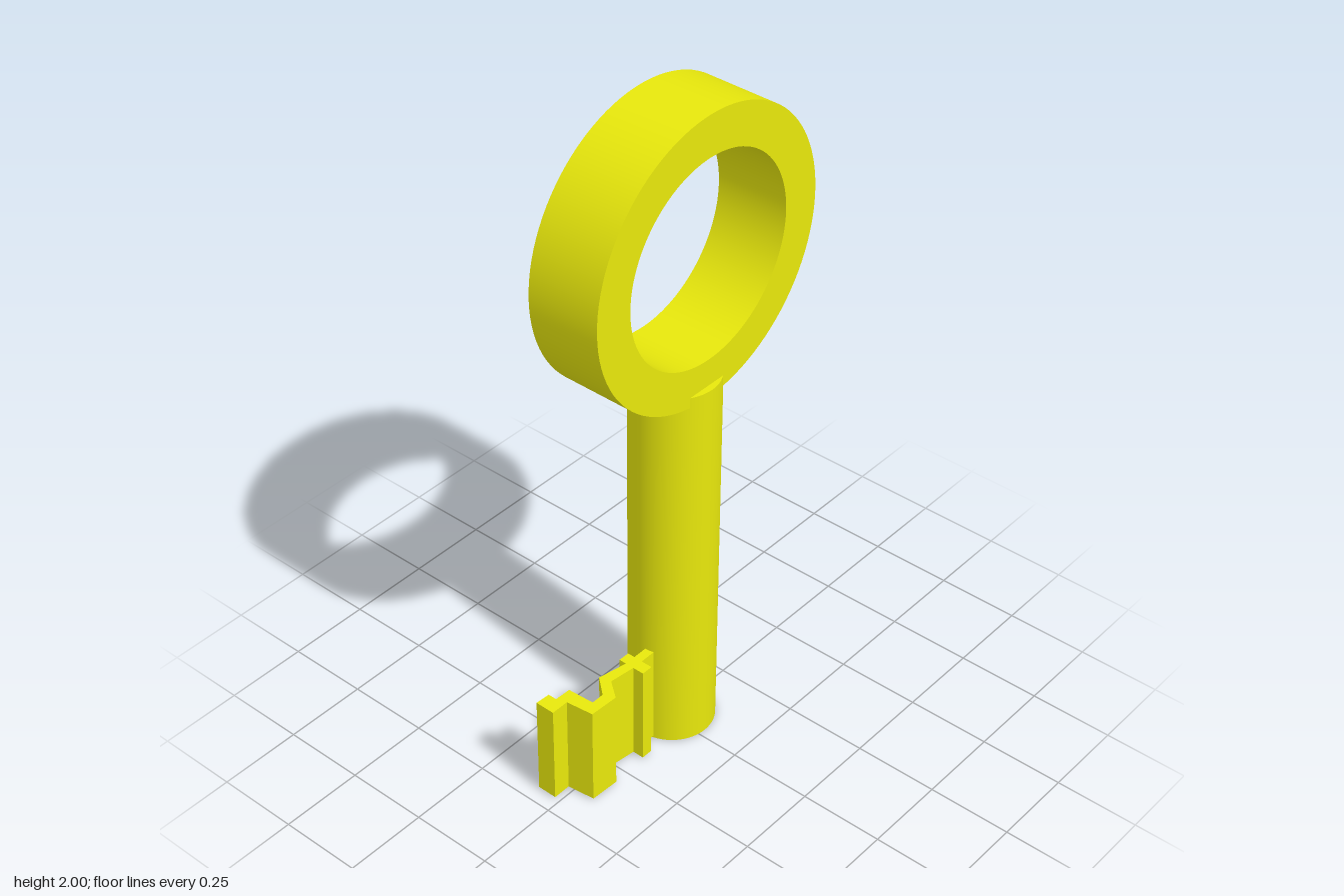
import * as THREE from 'three';
import { toCreasedNormals } from 'three/addons/utils/BufferGeometryUtils.js';

export function createModel() {
  const key = new THREE.Group();
  key.name = 'key';
  const material = new THREE.MeshStandardMaterial({ color: 0xe8e80c });
  const add = (name, geometry, x, y, z) => {
    const mesh = new THREE.Mesh(geometry, material);
    mesh.name = name;
    mesh.position.set(x, y, z);
    key.add(mesh);
    return mesh;
  };
  const extrude = (shape, depth) => new THREE.ExtrudeGeometry(shape, {
    depth, bevelEnabled: false, curveSegments: 48,
  });

  // Round bow with a large hole
  const ring = new THREE.Shape().absarc(0, 0, 0.42, 0, Math.PI * 2, false);
  ring.holes.push(new THREE.Path().absarc(0, 0, 0.3, 0, Math.PI * 2, true));
  add('bow', toCreasedNormals(extrude(ring, 0.222), 0.6), 0.03, 1.58, -0.116);

  // Shaft
  add('shaft', new THREE.CylinderGeometry(0.125, 0.125, 1.195, 64), 0.025, 0.6, 0);

  // Zigzag bit: plan outline as [x, z], extruded upwards
  const outline = [
    [-0.05, 0.035], [-0.145, 0.035], [-0.145, 0.07], [-0.18, 0.07], [-0.18, 0.035],
    [-0.26, 0.025], [-0.3, 0.077], [-0.39, 0.073], [-0.4, -0.01],
    [-0.455, -0.01], [-0.455, -0.07], [-0.41, -0.067], [-0.41, -0.04], [-0.36, -0.038],
    [-0.355, 0.043], [-0.315, 0.043], [-0.27, -0.01],
    [-0.18, 0.008], [-0.18, -0.015], [-0.145, -0.015], [-0.145, 0.008], [-0.05, 0.008],
  ];
  const profile = new THREE.Shape(outline.map(([x, z]) => new THREE.Vector2(x, -z)));
  add('bit', extrude(profile, 0.317).rotateX(-Math.PI / 2), 0, 0.008, 0);

  // The whole key leans very slightly forward
  key.rotation.x = 0.009;
  key.position.set(0, 0.001, -0.005);
  const model = new THREE.Group();
  model.add(key);
  return model;
}
